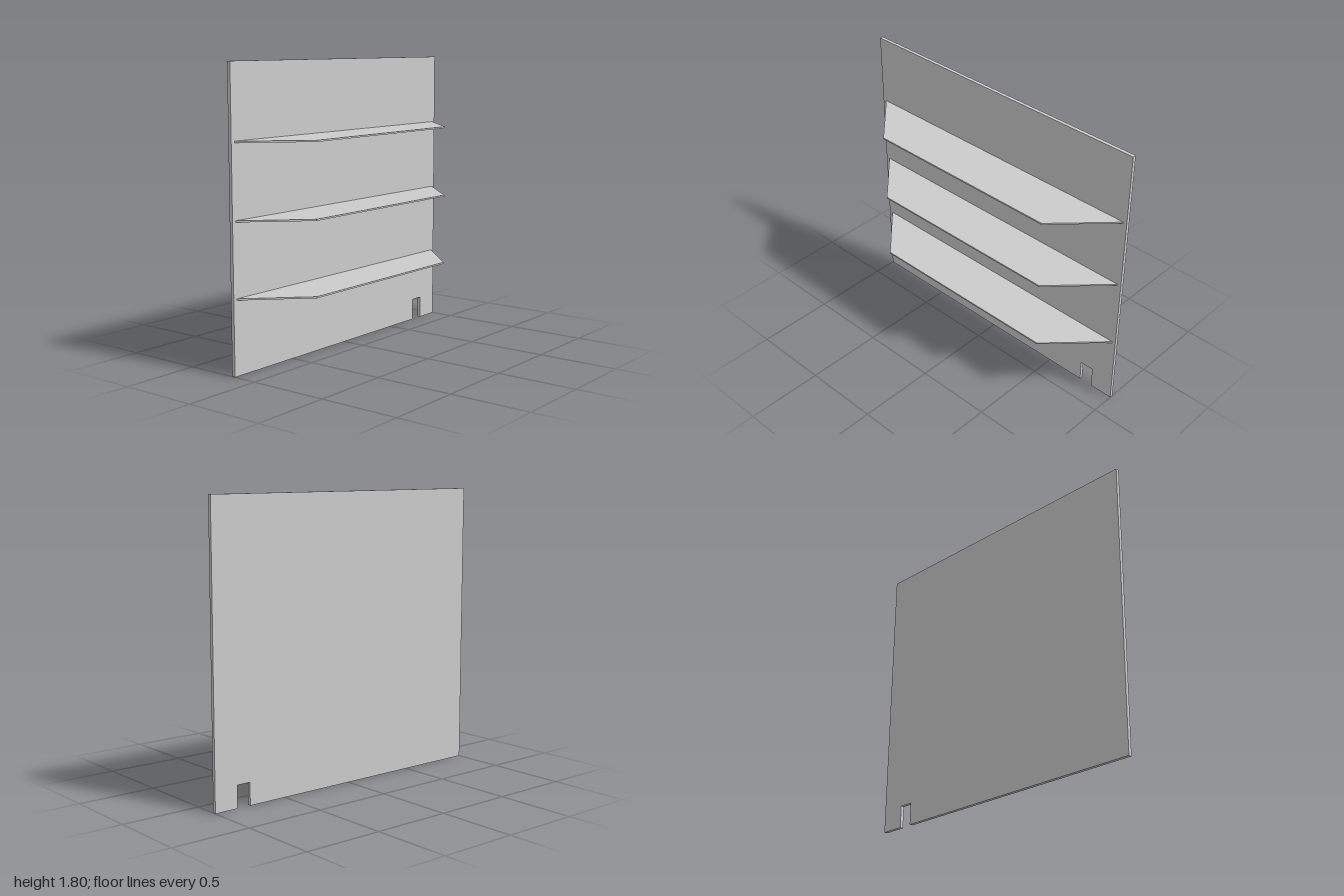
import * as THREE from 'three';

const material = new THREE.MeshStandardMaterial({ color: 0xcccccc, flatShading: true });

// Extrude a closed outline by a depth
function extrude(points, depth) {
  const shape = new THREE.Shape(points.map(([x, y]) => new THREE.Vector2(x, y)));
  return new THREE.ExtrudeGeometry(shape, { depth, bevelEnabled: false });
}

export function createModel() {
  const model = new THREE.Group();
  const back = -0.173, face = -0.151, front = 0.173;

  // Upright panel with a small doorway notch at the bottom; outline is (-z, y)
  const panelGeometry = extrude([
    [-1, 0], [0.755, 0], [0.755, 0.14], [0.845, 0.14], [0.845, 0],
    [1, 0], [1, 1.805], [-1, 1.805],
  ], face - back);
  panelGeometry.rotateY(Math.PI / 2);
  const panel = new THREE.Mesh(panelGeometry, material);
  panel.name = 'panel';
  panel.position.x = back;
  model.add(panel);

  // Three thin shelves with ends cut at 45 degrees; outline is (x, -z)
  const thickness = 0.01;
  const shelfGeometry = extrude([
    [face, -0.975], [front, -0.651], [front, 0.651], [face, 0.975],
  ], thickness);
  shelfGeometry.rotateX(-Math.PI / 2);
  ['lowerShelf', 'middleShelf', 'upperShelf'].forEach((name, i) => {
    const shelf = new THREE.Mesh(shelfGeometry, material);
    shelf.name = name;
    shelf.position.y = 0.451 * (i + 1) - thickness / 2 + 0.001;
    model.add(shelf);
  });

  return model;
}
